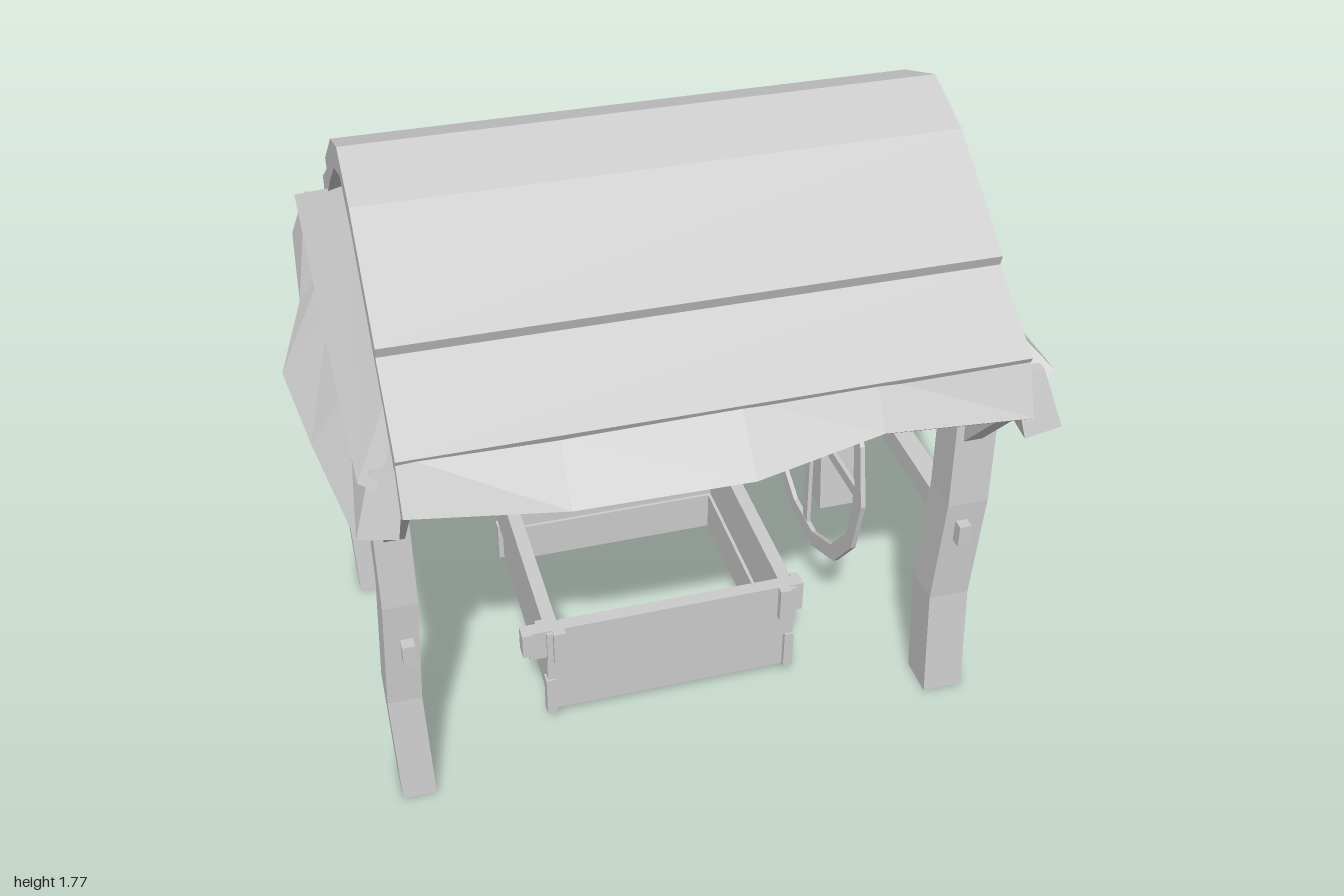
import * as THREE from 'three';

const mat = new THREE.MeshStandardMaterial({ color: 0xcccccc, flatShading: true, side: THREE.DoubleSide });

function add(parent, name, geo, x = 0, y = 0, z = 0) {
  const m = new THREE.Mesh(geo, mat);
  m.name = name;
  m.position.set(x, y, z);
  parent.add(m);
  return m;
}

// Box given by its min and max corners
function box(parent, name, [x0, y0, z0], [x1, y1, z1]) {
  return add(parent, name, new THREE.BoxGeometry(x1 - x0, y1 - y0, z1 - z0),
    (x0 + x1) / 2, (y0 + y1) / 2, (z0 + z1) / 2);
}

// Solid joining equal rings of points, capped at both ends
function loft(rings) {
  const n = rings[0].length, tris = [];
  const quad = (a, b, c, d) => tris.push([a, b, c], [a, c, d]);
  for (let i = 0; i < rings.length - 1; i++)
    for (let j = 0; j < n; j++) {
      const k = (j + 1) % n;
      quad(rings[i][j], rings[i][k], rings[i + 1][k], rings[i + 1][j]);
    }
  const a = rings[0], b = rings[rings.length - 1];
  for (let j = 1; j < n - 1; j++) tris.push([a[0], a[j + 1], a[j]], [b[0], b[j], b[j + 1]]);
  // turn the faces outward if the volume comes out negative
  const v = (p) => new THREE.Vector3(...p);
  const vol = tris.reduce((s, t) => s + v(t[0]).dot(v(t[1]).cross(v(t[2]))), 0);
  if (vol < 0) tris.forEach((t) => t.reverse());
  const g = new THREE.BufferGeometry();
  g.setAttribute('position', new THREE.Float32BufferAttribute(tris.flat(2), 3));
  g.computeVertexNormals();
  return g;
}

// Board between an upper and a lower edge, thickened by two inward offsets
function board(top, bottom, offTop, offBottom = offTop) {
  const plus = (p, o) => p.map((c, i) => c + o[i]);
  return loft(top.map((t, i) => [t, bottom[i], plus(bottom[i], offBottom), plus(t, offTop)]));
}

// Square bar along a list of centres [x, y, z]
function post(centres, w, d) {
  return loft(centres.map(([x, y, z]) =>
    [[-1, -1], [1, -1], [1, 1], [-1, 1]].map(([a, b]) => [x + a * w / 2, y, z + b * d / 2])));
}

function makeRoof() {
  const roof = new THREE.Group();
  roof.name = 'roof';

  // curved saddle roof with a lapped lower course
  const outer = [[0, 1.77], [0.19, 1.7], [0.5, 1.49], [0.49, 1.46], [0.72, 1.32]];
  const inner = [[0.7, 1.28], [0.64, 1.29], [0.4, 1.47], [0.18, 1.62], [0, 1.69]];
  const half = [...outer, ...inner];
  const other = half.slice(1, -1).reverse().map(([z, y]) => [-z, y]);
  const shape = new THREE.Shape([...half, ...other].map(([z, y]) => new THREE.Vector2(z, y)));
  const saddle = new THREE.ExtrudeGeometry(shape, { depth: 1.6, bevelEnabled: false });
  saddle.rotateY(-Math.PI / 2);
  add(roof, 'saddleRoof', saddle, 0.81);

  // wavy eave boards, front and back
  const xs = [-0.79, -0.4, 0.05, 0.4, 0.81];
  const ys = [1.19, 1.17, 1.18, 1.21, 1.17];
  const zs = [0.77, 0.82, 0.84, 0.78, 0.77];
  for (const s of [1, -1])
    add(roof, s > 0 ? 'frontEave' : 'backEave', board(
      xs.map((x, i) => [x, [1.33, 1.31, 1.32, 1.325, 1.33][i], s * 0.7]),
      xs.map((x, i) => [x, ys[i], s * zs[i]]),
      [0, -0.04, -s * 0.05]));

  // sloping gable ends of three lapped courses; the left is the right turned round
  for (const turn of [0, Math.PI]) {
    const end = new THREE.Group();
    end.name = turn ? 'leftGable' : 'rightGable';
    end.rotation.y = turn;
    roof.add(end);
    add(end, 'upperCourse', board(
      [[0.5, 1.65, 0.19], [0.5, 1.65, -0.19]],
      [[0.74, 1.4, 0.48], [0.73, 1.41, -0.48]], [-0.03, -0.03, 0]));
    add(end, 'middleCourse', board(
      [[0.73, 1.42, 0.46], [0.71, 1.45, -0.42]],
      [[0.88, 1.27, 0.72], [0.88, 1.27, -0.71]], [-0.04, -0.03, 0]));
    const z = [0.76, 0.3, 0.07, -0.3, -0.73];
    add(end, 'gableEave', board(
      z.map((c, i) => [[0.85, 0.85, 0.86, 0.85, 0.85][i], [1.28, 1.26, 1.24, 1.25, 1.28][i], c * 0.94]),
      z.map((c, i) => [[0.9, 0.92, 1, 0.96, 0.9][i], [1.12, 1.16, 1.08, 1.1, 1.12][i], c]),
      [-0.08, -0.02, 0], [-0.1, -0.02, 0]));
  }
  return roof;
}

function makeFrame() {
  const frame = new THREE.Group();
  frame.name = 'frame';
  const levels = [0, 0.35, 0.7, 1, 1.24];
  const px = { 1: [0.79, 0.785, 0.8, 0.805, 0.8], '-1': [-0.805, -0.815, -0.8, -0.8, -0.8] };
  const pz = { 1: [0.48, 0.45, 0.46, 0.44, 0.43], '-1': [-0.42, -0.45, -0.44, -0.45, -0.45] };
  for (const sx of [1, -1]) {
    const side = sx > 0 ? 'left' : 'right';
    for (const sz of [1, -1]) {
      // crooked post and its brace
      add(frame, `${side}${sz > 0 ? 'Front' : 'Back'}Post`,
        post(levels.map((y, i) => [px[sx][i], y, pz[sz][i]]), sx > 0 ? 0.12 : 0.095, 0.12));
      add(frame, 'brace', post([[sx * 0.795, 0.9, sz * 0.46], [sx * 0.795, 1.15, sz * 0.68]], 0.055, 0.07));
    }
    // cross beam with its tenon passing through the front post
    const y = sx > 0 ? 0.57 : 0.51;
    box(frame, 'crossBeam', [sx * 0.79 - 0.03, y, -0.41], [sx * 0.79 + 0.03, y + 0.07, 0.41]);
    box(frame, 'beamTenon', [sx * 0.79 - 0.02, y, 0.4], [sx * 0.79 + 0.015, y + 0.07, 0.55]);
  }
  return frame;
}

function makeWinch() {
  const winch = new THREE.Group();
  winch.name = 'winch';
  // tilted axle with thin ends
  const axle = new THREE.Group();
  axle.name = 'axle';
  axle.position.set(0, 0.63, -0.03);
  axle.rotation.z = 0.04;
  winch.add(axle);
  const rod = (name, r, len) =>
    add(axle, name, new THREE.CylinderGeometry(r, r, len, 8).rotateZ(Math.PI / 2));
  rod('drum', 0.04, 1.5);
  rod('axlePin', 0.018, 1.74);

  // hand wheel
  const wheel = new THREE.Group();
  wheel.name = 'wheel';
  wheel.position.set(0.535, 0.65, -0.02);
  winch.add(wheel);
  const ring = (r) => Array.from({ length: 14 }, (_, i) => {
    const a = ((i + 0.5) / 14) * Math.PI * 2;
    return new THREE.Vector2(Math.cos(a) * r, Math.sin(a) * r);
  });
  const rim = new THREE.Shape(ring(0.425));
  rim.holes.push(new THREE.Path(ring(0.375)));
  const rimGeo = new THREE.ExtrudeGeometry(rim, { depth: 0.014, bevelEnabled: false });
  add(wheel, 'rim', rimGeo.translate(0, 0, -0.007).rotateY(Math.PI / 2).rotateX(Math.PI / 2));
  for (let i = 0; i < 2; i++) {
    const spoke = add(wheel, 'spoke', new THREE.BoxGeometry(0.012, 0.78, 0.035));
    spoke.rotation.x = i * Math.PI / 2 - 0.04;
  }
  add(wheel, 'hub', new THREE.CylinderGeometry(0.073, 0.073, 0.03, 8).rotateZ(Math.PI / 2));
  return winch;
}

function makeWellBox() {
  const well = new THREE.Group();
  well.name = 'wellBox';
  const [x0, x1, z0, z1, t] = [-0.38, 0.35, -0.36, 0.36, 0.04];
  // four walls, open above and below, in two courses
  for (const [name, y0, y1, e] of [['lowerCourse', 0.05, 0.18, 0], ['upperCourse', 0.18, 0.27, 0.01]]) {
    for (const z of [z0 - e, z1 + e - t]) box(well, name, [x0 - e, y0, z], [x1 + e, y1, z + t]);
    for (const x of [x0 - e, x1 + e - t]) box(well, name, [x, y0, z0 + t - e], [x + t, y1, z1 - t + e]);
  }
  // top rails crossing at the corners
  for (const z of [z0 - 0.01, z1 + 0.01 - t]) box(well, 'longRail', [-0.44, 0.27, z], [0.385, 0.37, z + t]);
  for (const x of [x0 - 0.01, x1 + 0.01 - t]) box(well, 'sideRail', [x, 0.265, -0.39], [x + t, 0.365, 0.38]);
  box(well, 'railEnd', [-0.46, 0.29, 0.33], [-0.43, 0.37, 0.375]);
  // cleats and corner strips
  for (const x of [x0, x1]) for (const z of [z0, z1]) {
    const sx = Math.sign(x), sz = Math.sign(z);
    box(well, 'cornerStrip', [x - 0.016, 0.05, z - 0.016], [x + 0.012, 0.18, z + 0.016]);
    add(well, 'cleat', new THREE.BoxGeometry(0.035, 0.11, 0.025), x - sx * 0.025, 0.315, z + sz * 0.02);
    add(well, 'cleat', new THREE.BoxGeometry(0.025, 0.11, 0.035), x + sx * 0.02, 0.315, z - sz * 0.025);
  }
  return well;
}

export function createModel() {
  const model = new THREE.Group();
  model.name = 'coveredWell';
  model.add(makeRoof(), makeFrame(), makeWinch(), makeWellBox());
  return model;
}
